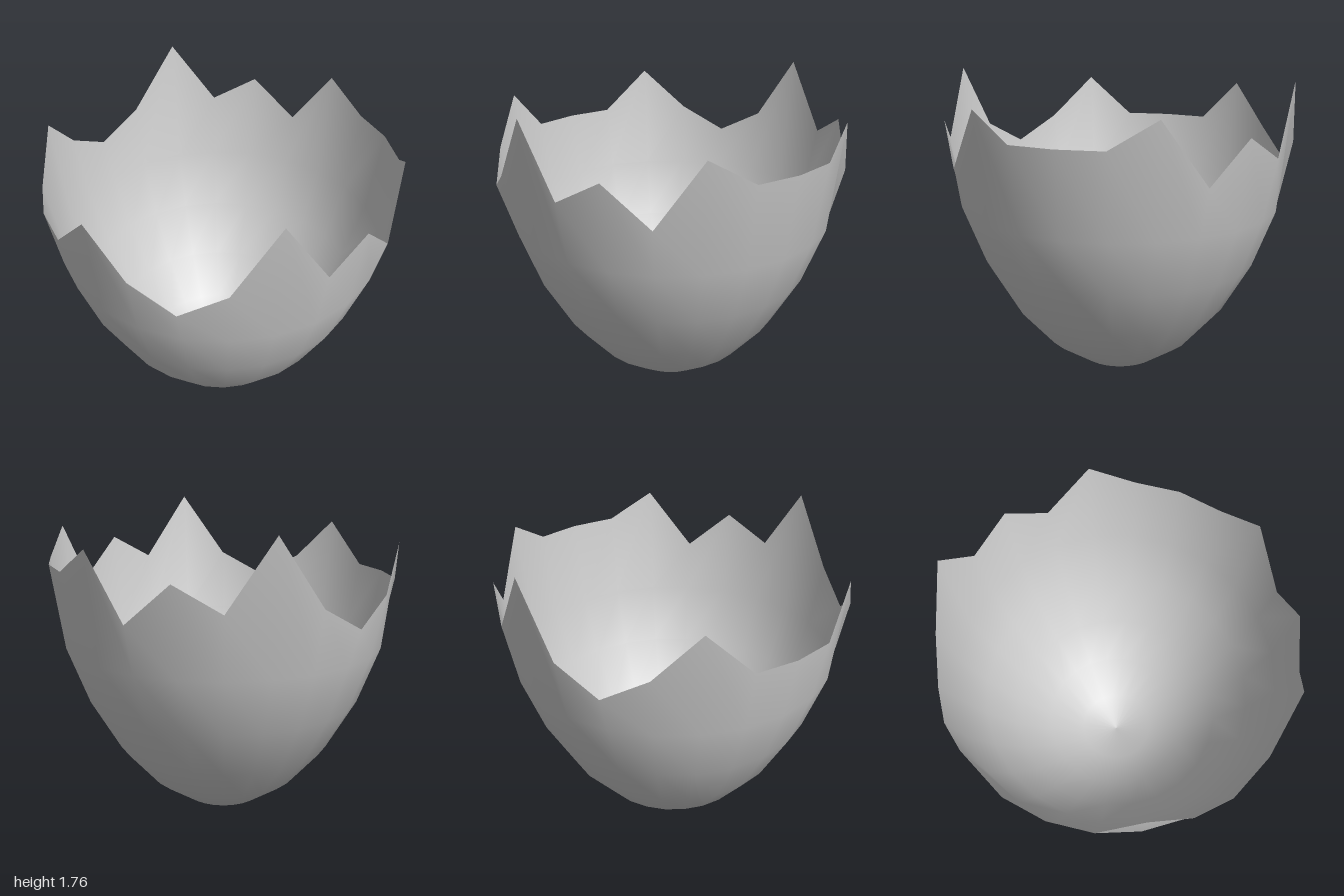
import * as THREE from 'three';

export function createModel() {
  const group = new THREE.Group();
  const material = new THREE.MeshStandardMaterial({ color: 0xcccccc, side: THREE.DoubleSide });
  const segments = 24;

  // Cup profile from the bottom pole up to the rim
  const profile = [
    [0, 0], [0.222, 0.05], [0.435, 0.19], [0.628, 0.405], [0.798, 0.695], [0.925, 1.025], [1, 1.5],
  ].map(([r, y]) => new THREE.Vector2(r, y));
  const shell = new THREE.LatheGeometry(profile, segments);

  // Jagged rim heights in 15 degree steps, from the front to the side;
  // the back half mirrors the front half
  const leftRim = [1.765, 1.385, 1.53, 1.305, 1.66, 1.51, 1.51];
  const rightRim = [1.765, 1.385, 1.245, 1.385, 1.63, 1.385, 1.385];
  const position = shell.attributes.position;
  for (let i = 0; i <= segments; i++) {
    const rim = i <= segments / 2 ? leftRim : rightRim;
    const step = i % 12;
    const top = (i + 1) * profile.length - 1;
    position.setY(top, rim[Math.min(step, 12 - step)]);
  }

  const mesh = new THREE.Mesh(shell, material);
  mesh.name = 'brokenEggshell';
  group.add(mesh);
  return group;
}
